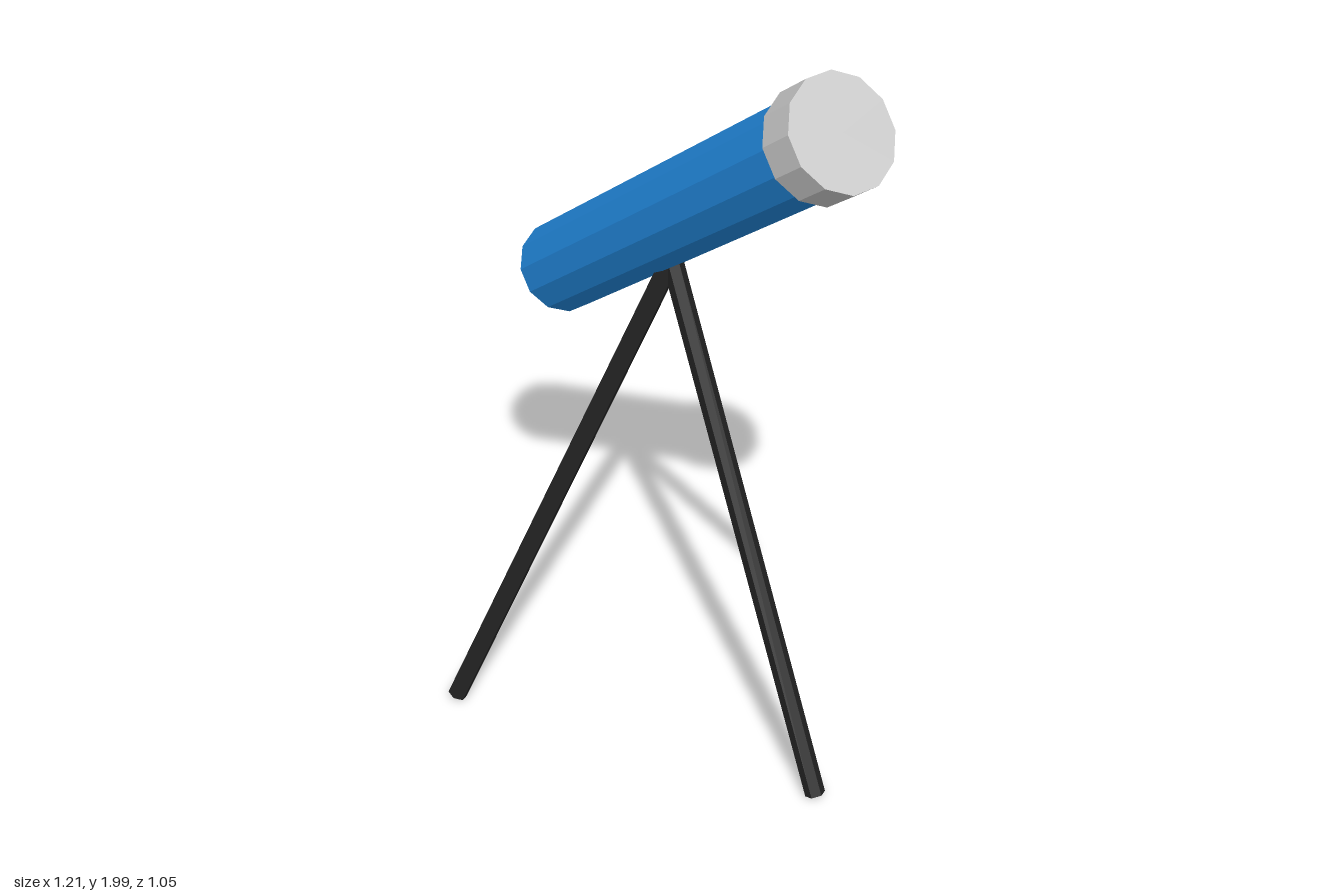
import * as THREE from 'three';

const material = (color) => new THREE.MeshStandardMaterial({ color, flatShading: true });

// Straight faceted rod between two points
function rod(name, from, to, radius, sides, mat) {
  const axis = new THREE.Vector3().subVectors(to, from);
  const geometry = new THREE.CylinderGeometry(radius, radius, axis.length(), sides);
  geometry.rotateY(Math.PI / sides);
  const mesh = new THREE.Mesh(geometry, mat);
  mesh.name = name;
  mesh.position.addVectors(from, to).multiplyScalar(0.5);
  mesh.quaternion.setFromUnitVectors(new THREE.Vector3(0, 1, 0), axis.normalize());
  return mesh;
}

export function createModel() {
  const model = new THREE.Group();
  model.name = 'telescope';
  const blue = material(0x2288dd);
  const grey = material(0xcccccc);
  const black = material(0x222222);

  // Optical parts share one tilted axis, measured from the rear of the tube
  const tilt = THREE.MathUtils.degToRad(38.2);
  const along = (d) => new THREE.Vector3(-0.515 + d * Math.cos(tilt), 1.075 + d * Math.sin(tilt), 0);
  model.add(rod('mainTube', along(0), along(1.23), 0.119, 12, blue));
  model.add(rod('frontCap', along(1.22), along(1.322), 0.135, 12, grey));
  model.add(rod('eyepiece', along(-0.08), along(0.02), 0.052, 8, grey));

  // Three splayed tripod legs meeting under the tube
  const hubX = -0.053;
  const spread = 0.583;
  for (let i = 0; i < 3; i++) {
    const a = (i * Math.PI * 2) / 3;
    const foot = new THREE.Vector3(hubX + spread * Math.cos(a), 0.011, spread * Math.sin(a));
    const top = new THREE.Vector3(hubX, 1.315, 0);
    model.add(rod('tripodLeg' + (i + 1), foot, top, 0.026, 6, black));
  }
  return model;
}
